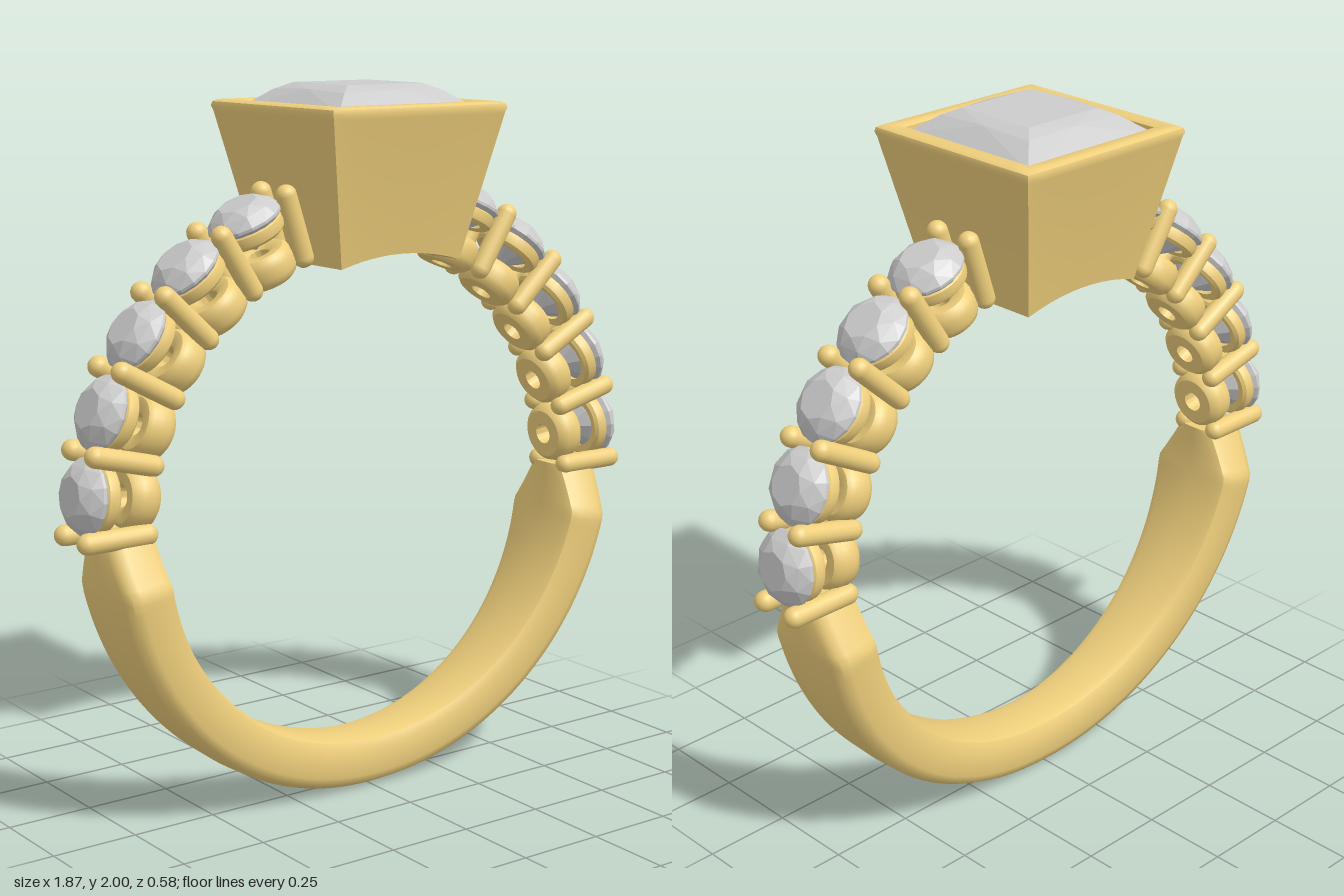
import * as THREE from 'three';
import { toCreasedNormals } from 'three/addons/utils/BufferGeometryUtils.js';
import { ConvexGeometry } from 'three/addons/geometries/ConvexGeometry.js';

const CY = 0.85;        // height of the ring's centre
const INNER = 0.7;      // finger hole radius
const STEP = THREE.MathUtils.degToRad(14.4); // angle between side stones

// Skin a list of closed loops and cap both ends.
function loft(loops, crease) {
  const n = loops[0].length, pos = [], idx = [];
  loops.forEach(l => l.forEach(p => pos.push(p.x, p.y, p.z)));
  for (let i = 0; i < loops.length - 1; i++) {
    for (let j = 0; j < n; j++) {
      const k = (j + 1) % n, a = i * n + j, b = a + n, c = (i + 1) * n + k, d = i * n + k;
      idx.push(a, b, c, a, c, d);
    }
  }
  [0, loops.length - 1].forEach(i => {
    const m = new THREE.Vector3();
    loops[i].forEach(p => m.addScaledVector(p, 1 / n));
    const centre = pos.length / 3;
    pos.push(m.x, m.y, m.z);
    for (let j = 0; j < n; j++) {
      const a = i * n + j, b = i * n + (j + 1) % n;
      if (i === 0) idx.push(centre, a, b); else idx.push(centre, b, a);
    }
  });
  const g = new THREE.BufferGeometry();
  g.setAttribute('position', new THREE.Float32BufferAttribute(pos, 3));
  g.setIndex(idx);
  return toCreasedNormals(g, crease);
}

// Lower half of the band: widens upward, then pinches in at the shoulders.
function bandGeometry() {
  const loops = [], steps = 120;
  for (let i = 0; i <= steps; i++) {
    const t = Math.PI * (1 + i / steps), y = CY + 0.85 * Math.sin(t);
    const w = y < 0.69
      ? 0.088 + 0.057 * Math.pow(Math.max(y, 0) / 0.69, 0.75)
      : THREE.MathUtils.lerp(0.145, 0.068, (y - 0.69) / 0.16);
    const half = [[0, 0.85], [w - 0.035, 0.847], [w - 0.01, 0.834], [w, 0.81],
      [w, 0.735], [w - 0.012, 0.71], [w - 0.035, 0.701], [0, INNER]];
    const section = half.concat(half.slice(1, -1).reverse().map(([z, r]) => [-z, r]));
    loops.push(section.map(([z, r]) =>
      new THREE.Vector3(r * Math.cos(t), CY + r * Math.sin(t), z)));
  }
  return loft(loops, 0.7);
}

// Square loop; without a height it follows the finger hole's arch.
function squareLoop(h, y) {
  const corners = [[1, 1], [-1, 1], [-1, -1], [1, -1]], out = [], n = 10;
  corners.forEach(([x, z], s) => {
    const [x2, z2] = corners[(s + 1) % 4];
    for (let k = 0; k < n; k++) {
      const px = h * THREE.MathUtils.lerp(x, x2, k / n);
      const pz = h * THREE.MathUtils.lerp(z, z2, k / n);
      out.push(new THREE.Vector3(px, y ?? CY + Math.sqrt(INNER * INNER - px * px), pz));
    }
  });
  return out;
}

// Ring of points for a cut stone.
function ringPoints(count, radius, y, turn = 0) {
  return Array.from({ length: count }, (_, i) => {
    const a = (i + turn) / count * Math.PI * 2;
    return new THREE.Vector3(radius * Math.cos(a), y, radius * Math.sin(a));
  });
}

function lathe(points) {
  const g = new THREE.LatheGeometry(points.map(p => new THREE.Vector2(...p)), 32);
  return toCreasedNormals(g, 0.6);
}

export function createModel() {
  const ring = new THREE.Group();
  ring.name = 'ring';
  const gold = new THREE.MeshStandardMaterial({ color: 0xefcf7c });
  const gem = new THREE.MeshStandardMaterial({ color: 0xcccccc, flatShading: true });
  const add = (parent, name, geometry, material) => {
    const m = new THREE.Mesh(geometry, material);
    m.name = name;
    parent.add(m);
    return m;
  };

  add(ring, 'band', bandGeometry(), gold);

  // Tapered square head with a recess underneath and a rounded rim
  add(ring, 'head', loft([
    squareLoop(0.07, 1.65), squareLoop(0.1), squareLoop(0.2),
    squareLoop(0.285, 1.92), squareLoop(0.29, 1.935), squareLoop(0.287, 1.946),
    squareLoop(0.276, 1.952), squareLoop(0.243, 1.952), squareLoop(0.234, 1.946),
    squareLoop(0.231, 1.91),
  ], 0.75), gold);

  // Square-cut centre stone
  const S = Math.SQRT2;
  add(ring, 'centreStone', new ConvexGeometry([
    ...ringPoints(4, 0.231 * S, 1.915, 0.5), ...ringPoints(4, 0.231 * S, 1.932, 0.5),
    ...ringPoints(4, 0.165 * S, 1.981, 0.5), ...ringPoints(4, 0.168, 1.987),
    ...ringPoints(4, 0.125 * S, 2.0, 0.5), new THREE.Vector3(0, 1.72, 0),
  ]), gem);

  // Shared side-setting shapes, with y as distance from the ring's centre
  const stoneGeo = new ConvexGeometry([
    ...ringPoints(8, 0.055, 0.932), ...ringPoints(8, 0.086, 0.913, 0.5),
    ...ringPoints(16, 0.105, 0.888), ...ringPoints(16, 0.105, 0.88),
    ...ringPoints(8, 0.06, 0.835), new THREE.Vector3(0, 0.79, 0),
  ]);
  const cupGeo = lathe([[0.03, 0.775], [0.03, 0.697], [0.07, 0.697], [0.083, 0.708],
    [0.089, 0.725], [0.089, 0.755], [0.083, 0.775], [0.072, 0.785], [0.045, 0.785], [0.03, 0.775]]);
  const collarGeo = lathe([[0.068, 0.832], [0.088, 0.828], [0.097, 0.836], [0.1, 0.85],
    [0.098, 0.866], [0.09, 0.872], [0.078, 0.862], [0.068, 0.832]]);
  const prongGeo = new THREE.CapsuleGeometry(0.029, 0.178, 6, 16);
  prongGeo.translate(0, 0.818, 0);

  [1, -1].forEach(side => {
    const row = new THREE.Group();
    row.name = side > 0 ? 'leftStoneRow' : 'rightStoneRow';
    row.position.y = CY;
    ring.add(row);
    const spoke = (name, angle) => {
      const g = new THREE.Group();
      g.name = name;
      g.rotation.z = side * (angle - Math.PI / 2);
      row.add(g);
      return g;
    };
    for (let i = 0; i < 5; i++) {
      const setting = spoke('stoneSetting', (i + 0.5) * STEP);
      add(setting, 'sideStone', stoneGeo, gem);
      add(setting, 'cup', cupGeo, gold);
      add(setting, 'collar', collarGeo, gold);
    }
    for (let i = 0; i <= 5; i++) {
      const pair = spoke('prongPair', i * STEP);
      [0.06, -0.06].forEach(z => { add(pair, 'prong', prongGeo, gold).position.z = z; });
    }
  });

  return ring;
}
